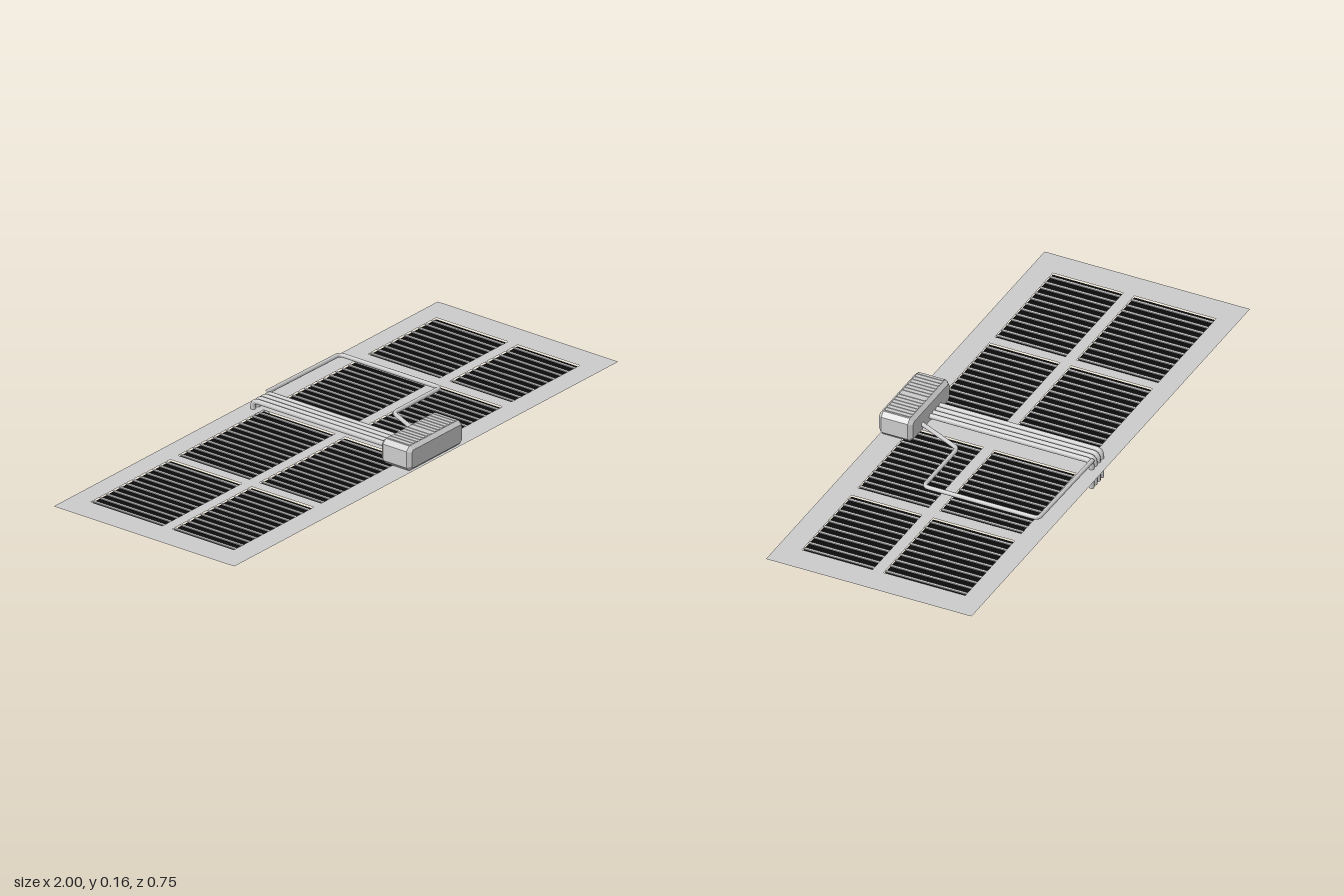
import * as THREE from 'three';

const grey = new THREE.MeshStandardMaterial({ color: 0xcccccc });
const greyFlat = new THREE.MeshStandardMaterial({ color: 0xcccccc, flatShading: true });
const greySheet = new THREE.MeshStandardMaterial({ color: 0xcccccc, side: THREE.DoubleSide });
const blackSheet = new THREE.MeshStandardMaterial({ color: 0x0a0a0a, side: THREE.DoubleSide });

const PLATE_Y = 0.073;
// openings of the grille: columns along x, rows along z
const columns = [[-0.9, -0.485], [-0.445, 0.0], [0.105, 0.497], [0.545, 0.9]];
const rows = [[-0.3, -0.005], [0.035, 0.29]];

function add(parent, name, geometry, material, x = 0, y = 0, z = 0) {
  const mesh = new THREE.Mesh(geometry, material);
  mesh.name = name;
  mesh.position.set(x, y, z);
  parent.add(mesh);
  return mesh;
}

function outline(points, Type = THREE.Shape) {
  return new Type(points.map(([x, y]) => new THREE.Vector2(x, y)));
}

const rect = (x0, x1, z0, z1) => [[x0, z0], [x1, z0], [x1, z1], [x0, z1]];

// straight pipe runs joined by rounded corners
function pipeGeometry(points, radius, bend) {
  const p = points.map((a) => new THREE.Vector3(...a));
  const path = new THREE.CurvePath();
  let from = p[0];
  for (let i = 1; i < p.length - 1; i++) {
    const a = p[i].clone().add(p[i - 1].clone().sub(p[i]).setLength(bend));
    const b = p[i].clone().add(p[i + 1].clone().sub(p[i]).setLength(bend));
    path.add(new THREE.LineCurve3(from, a));
    path.add(new THREE.QuadraticBezierCurve3(a, p[i], b));
    from = b;
  }
  path.add(new THREE.LineCurve3(from, p[p.length - 1]));
  return new THREE.TubeGeometry(path, 120, radius, 10, false);
}

// slat running along z, with its lower ends cut back
function slatGeometry(z0, z1, width) {
  const shape = outline([[z0 - 0.005, 0.07], [z0 + 0.018, 0.06], [z1 - 0.018, 0.06], [z1 + 0.005, 0.07]]);
  const g = new THREE.ExtrudeGeometry(shape, { depth: width, bevelEnabled: false });
  return g.translate(0, 0, -width / 2).rotateY(-Math.PI / 2);
}

export function createModel() {
  const model = new THREE.Group();
  model.name = 'roofUnit';

  // flat plate with eight openings
  const plate = outline(rect(-1, 1, -0.373, 0.37));
  for (const [x0, x1] of columns)
    for (const [z0, z1] of rows) plate.holes.push(outline(rect(x0, x1, z0, z1), THREE.Path));
  add(model, 'plate', new THREE.ShapeGeometry(plate).rotateX(Math.PI / 2), greySheet, 0, PLATE_Y);

  // dark backing and slats in each opening
  for (const [x0, x1] of columns) {
    for (const [z0, z1] of rows) {
      const grille = new THREE.Group();
      grille.name = 'grille';
      model.add(grille);
      const back = new THREE.PlaneGeometry(x1 - x0, z1 - z0).rotateX(-Math.PI / 2);
      add(grille, 'darkBacking', back, blackSheet, (x0 + x1) / 2, 0.067, (z0 + z1) / 2);
      const count = Math.round((x1 - x0) / 0.034);
      const slat = slatGeometry(z0, z1, 0.009);
      for (let i = 0; i < count; i++)
        add(grille, 'slat', slat, greyFlat, x0 + ((i + 0.5) * (x1 - x0)) / count);
    }
  }

  // chamfered housing at the front edge
  const housing = new THREE.Group();
  housing.name = 'housing';
  model.add(housing);
  const [hx0, hx1, hy0, hy1, c] = [-0.09, 0.195, 0.073, 0.161, 0.013];
  const inset = c - 0.001;
  const k = 0.008;
  const [a, b, d, e] = [hx0 + inset, hx1 - inset, hy0 + inset, hy1 - inset];
  const face = outline([[a + k, d], [b - k, d], [b, d + k], [b, e - k], [b - k, e], [a + k, e], [a, e - k], [a, d + k]]);
  const body = new THREE.ExtrudeGeometry(face, {
    depth: 0.122 - 2 * c, bevelThickness: c, bevelSize: inset, bevelSegments: 1,
  });
  add(housing, 'housingBody', body, greyFlat, 0, 0, 0.25 + c);

  // two banks of ribs on the housing lid
  const rib = new THREE.BoxGeometry(0.008, 0.004, 0.094);
  for (const start of [-0.066, 0.065])
    for (let i = 0; i < 7; i++) add(housing, 'lidRib', rib, greyFlat, start + i * 0.0175, 0.161, 0.311);

  // four parallel pipes that turn down behind the back edge
  for (const x of [-0.012, 0.012, 0.036, 0.058]) {
    const g = pipeGeometry([[x, 0.102, 0.255], [x, 0.102, -0.333], [x, 0, -0.333]], 0.009, 0.02);
    add(model, 'mainPipe', g, grey);
    const cap = new THREE.CircleGeometry(0.009, 10).rotateX(Math.PI / 2);
    add(model, 'pipeEnd', cap, grey, x, 0.0005, -0.333);
  }

  // side pipe looping round from the housing to the back
  const loop = [[0.112, 0.104, 0.255], [0.19, 0.104, 0.085], [0.435, 0.104, 0.085], [0.435, 0.104, -0.33], [0.055, 0.104, -0.335]];
  add(model, 'sidePipe', pipeGeometry(loop, 0.0075, 0.018), grey);

  return model;
}
